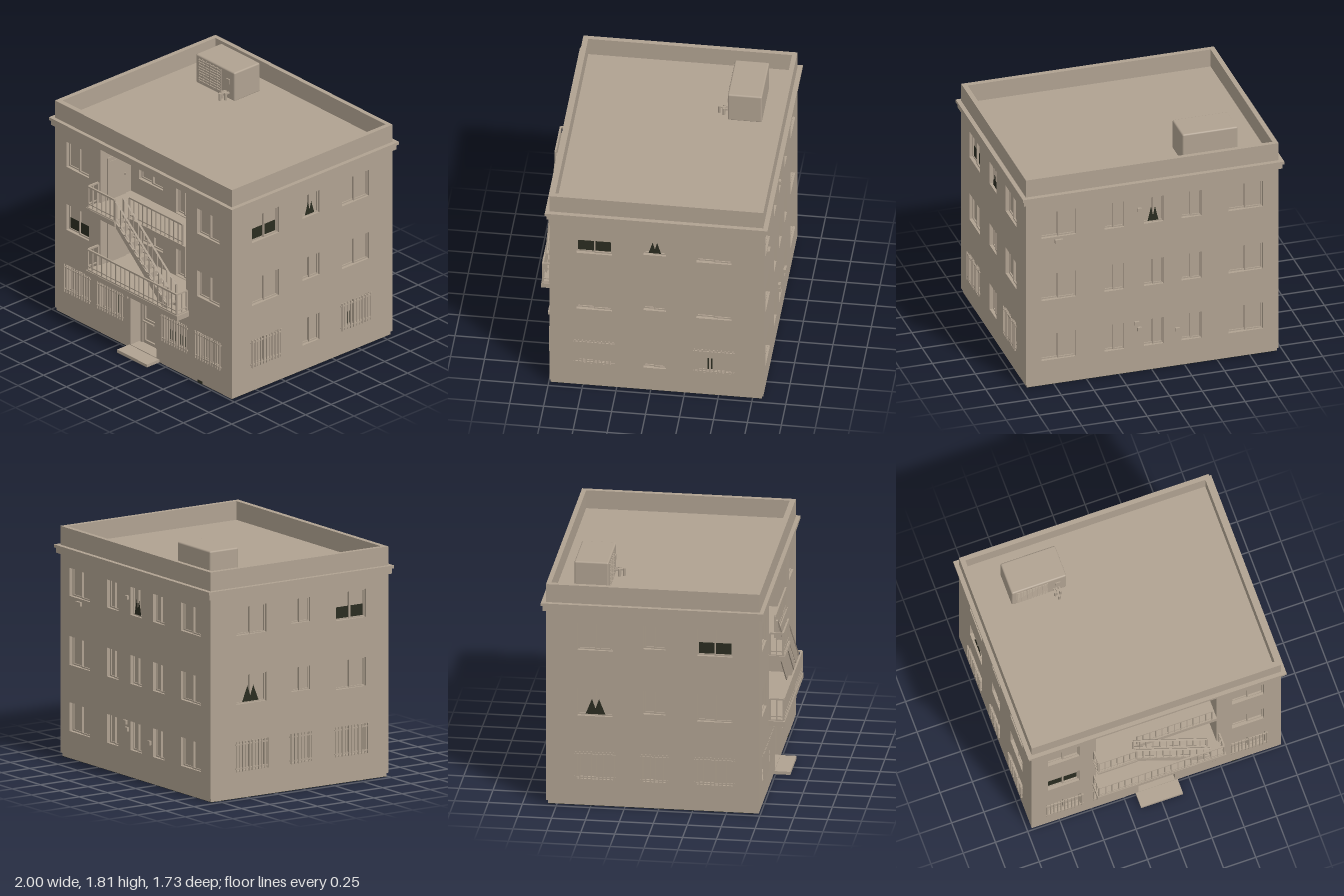
import * as THREE from 'three';
import { RoundedBoxGeometry } from 'three/addons/geometries/RoundedBoxGeometry.js';

const stucco = new THREE.MeshStandardMaterial({ name: 'stucco', color: 0xb0a291 });
const dark = new THREE.MeshStandardMaterial({ name: 'dark', color: 0x2a2c20 });

function add(parent, name, geometry, x, y, z, mat = stucco) {
  const m = new THREE.Mesh(geometry, mat);
  m.position.set(x, y, z);
  m.name = name;
  parent.add(m);
  return m;
}
function group(parent, name) {
  const g = new THREE.Group();
  g.name = name;
  parent.add(g);
  return g;
}
// Box given by its minimum and maximum corners
const box = (parent, name, x0, x1, y0, y1, z0, z1, mat) =>
  add(parent, name, new THREE.BoxGeometry(x1 - x0, y1 - y0, z1 - z0), (x0 + x1) / 2, (y0 + y1) / 2, (z0 + z1) / 2, mat);

// Square bar between two points, in the parent's frame
const Z = new THREE.Vector3(0, 0, 1);
function bar(parent, name, a, b, t = 0.01) {
  const p = new THREE.Vector3(...a), q = new THREE.Vector3(...b), c = p.clone().lerp(q, 0.5);
  add(parent, name, new THREE.BoxGeometry(t, t, p.distanceTo(q)), c.x, c.y, c.z)
    .quaternion.setFromUnitVectors(Z, q.sub(p).normalize());
}
// Extruded rectangle with rectangular holes, each [x0, x1, y0, y1]
const corners = ([x0, x1, y0, y1]) => [[x0, y0], [x1, y0], [x1, y1], [x0, y1]].map(p => new THREE.Vector2(...p));
function plate(parent, name, outer, holes, z0, depth) {
  const s = new THREE.Shape(corners(outer));
  s.holes = holes.map(h => new THREE.Path(corners(h)));
  return add(parent, name, new THREE.ExtrudeGeometry(s, { depth, bevelEnabled: false }), 0, 0, z0);
}

// Two-sash sliding window set behind the wall face at z
function windowUnit(parent, [x0, x1, y0, y1, o = {}], z = 0) {
  const g = group(parent, 'window'), mid = (x0 + x1) / 2, w = x1 - x0, h = y1 - y0, f = 0.01;
  g.position.z = z;
  box(g, 'pane', x0, x1, y0, y1, -0.045, -0.035);
  for (const [a, b, d] of [[x0, mid + f / 2, -0.035], [mid - f / 2, x1, -0.026]])
    plate(g, 'sash', [a, b, y0, y1], [[a + f, b - f, y0 + f, y1 - f]], d, 0.009);
  if (o.dark)
    for (const [a, b] of [[x0 + f, mid - f / 2], [mid + f / 2, x1 - f]])
      box(g, 'darkGlass', a, b, y0 + f, y0 + h * o.dark, -0.034, -0.031, dark);
  for (const [u, top] of o.slits || []) // dark gaps between slats
    box(g, 'darkSlit', x0 + w * u, x0 + w * u + 0.012, y0 + f, y0 + h * top, -0.034, -0.031, dark);
  if (o.curtain) { // dark gap between drawn curtains
    const pts = [[-0.28, 0.05], [0.28, 0.05], [0.19, 0.32], [0.1, 0.6], [0, 0.25], [-0.1, 0.6], [-0.19, 0.32]];
    const s = new THREE.Shape(pts.map(([u, v]) => new THREE.Vector2(mid + u * w, y0 + v * h)));
    add(g, 'curtainGap', new THREE.ShapeGeometry(s), 0, 0, -0.0155, dark);
  }
  if (o.grille) {
    const n = Math.round(w / 0.026);
    for (let i = 0; i <= n; i++) {
      const u = x0 - 0.01 + (w + 0.02) * i / n;
      bar(g, 'grilleBar', [u, y0 - 0.005, 0.014], [u, y1 + 0.005, 0.014], 0.009);
    }
    for (const v of [y0 + 0.018, y1 - 0.018]) bar(g, 'grilleRail', [x0 - 0.02, v, 0.01], [x1 + 0.02, v, 0.01]);
  }
}

// Railing between two points, level or sloping
function railing(parent, a, b, h) {
  const g = group(parent, 'railing'), up = (p, d) => [p[0], p[1] + d, p[2]];
  bar(g, 'topRail', up(a, h), up(b, h), 0.013);
  bar(g, 'bottomRail', up(a, 0.025), up(b, 0.025), 0.008);
  const n = Math.max(2, Math.round(Math.hypot(b[0] - a[0], b[2] - a[2]) / 0.05));
  for (let i = 0; i <= n; i++) {
    const p = a.map((v, k) => v + (b[k] - v) * i / n);
    bar(g, 'baluster', p, up(p, h), i % n ? 0.008 : 0.013);
  }
}

// Facade: wall with windows and openings, outer face at local z = 0
function facade(parent, name, halfWidth, x, z, turn, windows, openings = []) {
  const g = group(parent, name);
  g.position.set(x, 0, z);
  g.rotation.y = turn;
  plate(g, 'wall', [-halfWidth, halfWidth, 0.03, 1.52], [...windows, ...openings], -0.04, 0.04);
  windows.forEach(w => windowUnit(g, w));
  return g;
}
const win = (c, w, y0, y1, o) => [c - w / 2, c + w / 2, y0, y1, o];

export function createModel() {
  const root = new THREE.Group();
  root.name = 'apartmentBuilding';
  const F = 0.745, B = -0.83, W = 0.967, CZ = (F + B) / 2, HD = (F - B) / 2;

  // Base, cornice, roof and parapet
  box(root, 'plinth', -0.957, 0.957, 0.003, 0.035, B + 0.012, F - 0.008);
  box(root, 'underside', -0.955, 0.955, 0, 0.004, B + 0.014, F - 0.01, dark);
  box(root, 'baseVent', 0.585, 0.635, 0.003, 0.03, F - 0.01, F - 0.004, dark);
  box(root, 'corniceLower', -0.988, 0.988, 1.52, 1.565, B - 0.022, F + 0.018);
  box(root, 'corniceUpper', -1, 1, 1.56, 1.582, -0.865, 0.775);
  const parapet = plate(root, 'parapet', [-W, W, B, F], [[-0.93, 0.93, -0.795, 0.705]], 0, 0.145);
  parapet.rotation.x = Math.PI / 2;
  parapet.position.y = 1.722;

  // Front facade with openings for the balconies and entrance
  const front = [];
  for (const c of [-0.72, 0.71])
    front.push(win(c, 0.245, 1.225, 1.43), win(c, 0.245, 0.71, 0.92, { dark: c < 0 ? 0.45 : 0 }));
  [-0.715, -0.355, 0.35, 0.715].forEach((c, i) => front.push(win(c, 0.25, 0.21, 0.425,
    { grille: true, dark: i === 2 ? 0.42 : 0, slits: i === 1 ? [[0.62, 0.8], [0.72, 0.85], [0.82, 0.8]] : [] })));
  facade(root, 'frontFacade', W, 0, F, 0, front, [[-0.47, 0.465, 0.54, 1.515], [-0.14, 0.145, 0.035, 0.445]]);

  // Side facades
  for (const s of [1, -1]) {
    const wins = [];
    [0.415, -0.03, -0.467].forEach((z, i) => {
      const u = -s * (z - CZ), narrow = i === 1, w = narrow ? 0.165 : 0.262;
      wins.push(win(u, w, narrow ? 1.25 : 1.22, 1.43, { dark: i ? 0 : 0.45, curtain: narrow && s > 0 }));
      wins.push(win(u, w, narrow ? 0.74 : 0.705, 0.92, { curtain: s < 0 && i === 2 }));
      wins.push(win(u, w, 0.21, 0.425, { grille: !narrow || s < 0, slits: s > 0 && i === 2 ? [[0.3, 0.5], [0.4, 0.5]] : [] }));
    });
    facade(root, s > 0 ? 'leftFacade' : 'rightFacade', HD, s * W, CZ, s * Math.PI / 2, wins);
  }

  // Back facade
  const back = [];
  [0.717, 0.29, -0.01, -0.3, -0.715].forEach((x, i) => {
    const w = i % 4 ? 0.15 : 0.262;
    back.push(win(-x, w, 1.22, 1.43, { curtain: i === 2 }), win(-x, w, 0.705, 0.92), win(-x, w, 0.21, 0.425));
  });
  const rear = facade(root, 'backFacade', W, 0, B, Math.PI, back);
  for (const [x, y, r] of [[0.717, 1.185, 0.03], [0.1, 1.345, 0.015], [0.12, 0.41, 0.017], [0.1, 0.36, 0.017], [-0.19, 0.31, 0.017]])
    box(rear, 'ventCap', -x - r, -x + r, y - 0.015, y + 0.015, 0, 0.018);

  // Balcony recess shell
  const R = 0.445, recess = group(root, 'balconyRecess');
  for (const x of [-0.49, 0.465]) box(recess, 'recessSide', x, x + 0.02, 0.5, 1.52, R, F - 0.03);
  box(recess, 'recessCeiling', -0.48, 0.475, 1.51, 1.52, R, F - 0.03);
  const inner = [[-0.385, -0.12, 1.2, 1.425], [0.02, 0.175, 1.075, 1.43], [0.25, 0.355, 1.2, 1.42],
    [-0.365, -0.12, 0.69, 0.905], [0.02, 0.175, 0.565, 0.92], [0.25, 0.35, 0.69, 0.92]];
  plate(recess, 'recessBack', [-0.47, 0.465, 0.5, 1.52], inner, R - 0.04, 0.04);
  inner.forEach(w => windowUnit(recess, w, R));
  for (const y of [0.56, 1.07]) {
    box(recess, 'balconyDoor', -0.47, -0.462, y, y + 0.345, 0.5, 0.68);
    box(recess, 'balconyDoorPanel', -0.462, -0.458, y + 0.03, y + 0.315, 0.525, 0.655);
    box(recess, 'doorHandle', -0.46, -0.448, y + 0.16, y + 0.175, 0.51, 0.52);
  }
  box(recess, 'wallLamp', -0.06, -0.03, 1.405, 1.435, R, R + 0.03);

  // Balcony slabs and railings
  box(root, 'lowerSlab', -0.485, 0.49, 0.505, 0.56, R, 0.86);
  box(root, 'lowerSlabEdge', -0.497, 0.5, 0.51, 0.55, F, 0.865);
  box(root, 'upperSlab', -0.47, 0.465, 1.02, 1.07, R, F + 0.01);
  box(root, 'upperLanding', -0.49, -0.19, 1.02, 1.07, F, 0.86);
  box(root, 'upperLandingEdge', -0.497, -0.19, 1.05, 1.062, F, 0.865);
  railing(root, [-0.485, 1.07, 0.85], [-0.195, 1.07, 0.85], 0.165);
  railing(root, [-0.485, 1.07, 0.755], [-0.485, 1.07, 0.85], 0.165);
  railing(root, [-0.15, 1.07, F], [0.43, 1.07, F], 0.165);
  railing(root, [-0.485, 0.56, 0.855], [0.485, 0.56, 0.855], 0.16);
  for (const x of [-0.485, 0.485]) railing(root, [x, 0.56, 0.755], [x, 0.56, 0.855], 0.16);

  // Outside stair
  const stair = group(root, 'stair'), n = 11, x0 = -0.19, run = 0.052, rise = 0.51 / (n + 1), x1 = x0 + n * run;
  for (let i = 0; i < n; i++) {
    const x = x0 + i * run, y = 1.07 - (i + 1) * rise;
    box(stair, 'tread', x - 0.005, x + run + 0.004, y - 0.012, y, 0.765, 0.845);
    box(stair, 'riser', x - 0.005, x + 0.004, y, y + rise - 0.012, 0.77, 0.84);
  }
  const side = [[x0, 1.05], [x1, 0.575], [x1, 0.56], [x1 - 0.07, 0.56], [x0, 1.005]].map(p => new THREE.Vector2(...p));
  for (const z of [0.762, 0.838]) {
    add(stair, 'stringer', new THREE.ExtrudeGeometry(new THREE.Shape(side), { depth: 0.008, bevelEnabled: false }), 0, 0, z);
    railing(stair, [x0, 1.06, z + 0.004], [x1, 0.575, z + 0.004], 0.16);
  }

  // Entrance
  const entry = group(root, 'entrance'), D = F - 0.11;
  box(entry, 'entryBack', -0.15, 0.155, 0.03, 0.455, D - 0.01, D);
  for (const x of [-0.155, 0.145]) box(entry, 'entrySide', x, x + 0.015, 0.03, 0.455, D, F - 0.03);
  box(entry, 'entryCeiling', -0.15, 0.155, 0.445, 0.455, D, F - 0.03);
  box(entry, 'doorstep', -0.16, 0.165, 0.002, 0.026, D, 0.86);
  plate(entry, 'doorFrame', [-0.135, 0.14, 0.03, 0.44], [[-0.11, 0.035, 0.035, 0.42], [0.06, 0.125, 0.06, 0.42]], D, 0.02);
  plate(entry, 'door', [-0.11, 0.035, 0.035, 0.42], [[-0.09, 0.015, 0.235, 0.4], [-0.09, 0.015, 0.06, 0.2]], D, 0.012);
  bar(entry, 'pushBar', [-0.1, 0.218, D + 0.025], [0.02, 0.218, D + 0.025], 0.012);
  box(entry, 'intercom', -0.192, -0.165, 0.405, 0.435, F, F + 0.012);

  // Rooftop cooling unit with louvres and pipes
  const unit = group(root, 'rooftopUnit');
  add(unit, 'casing', new RoundedBoxGeometry(0.424, 0.235, 0.252, 2, 0.012), -0.498, 1.693, -0.531);
  for (let i = 0; i < 9; i++)
    box(unit, 'louvre', -0.675, -0.43, 1.605 + i * 0.021, 1.614 + i * 0.021, -0.41, -0.397);
  for (let i = 0; i < 7; i++)
    box(unit, 'louvreRib', -0.675 + i * 0.0395, -0.667 + i * 0.0395, 1.6, 1.79, -0.41, -0.399);
  box(unit, 'controlPanel', -0.375, -0.335, 1.7, 1.74, -0.41, -0.397);
  for (const [x, z] of [[-0.385, -0.37], [-0.345, -0.37], [-0.367, -0.335]]) {
    add(unit, 'pipe', new THREE.CylinderGeometry(0.011, 0.011, 0.06, 10), x, 1.61, z);
    bar(unit, 'pipeElbow', [x, 1.63, z], [x, 1.63, -0.41], 0.012);
  }
  return root;
}
